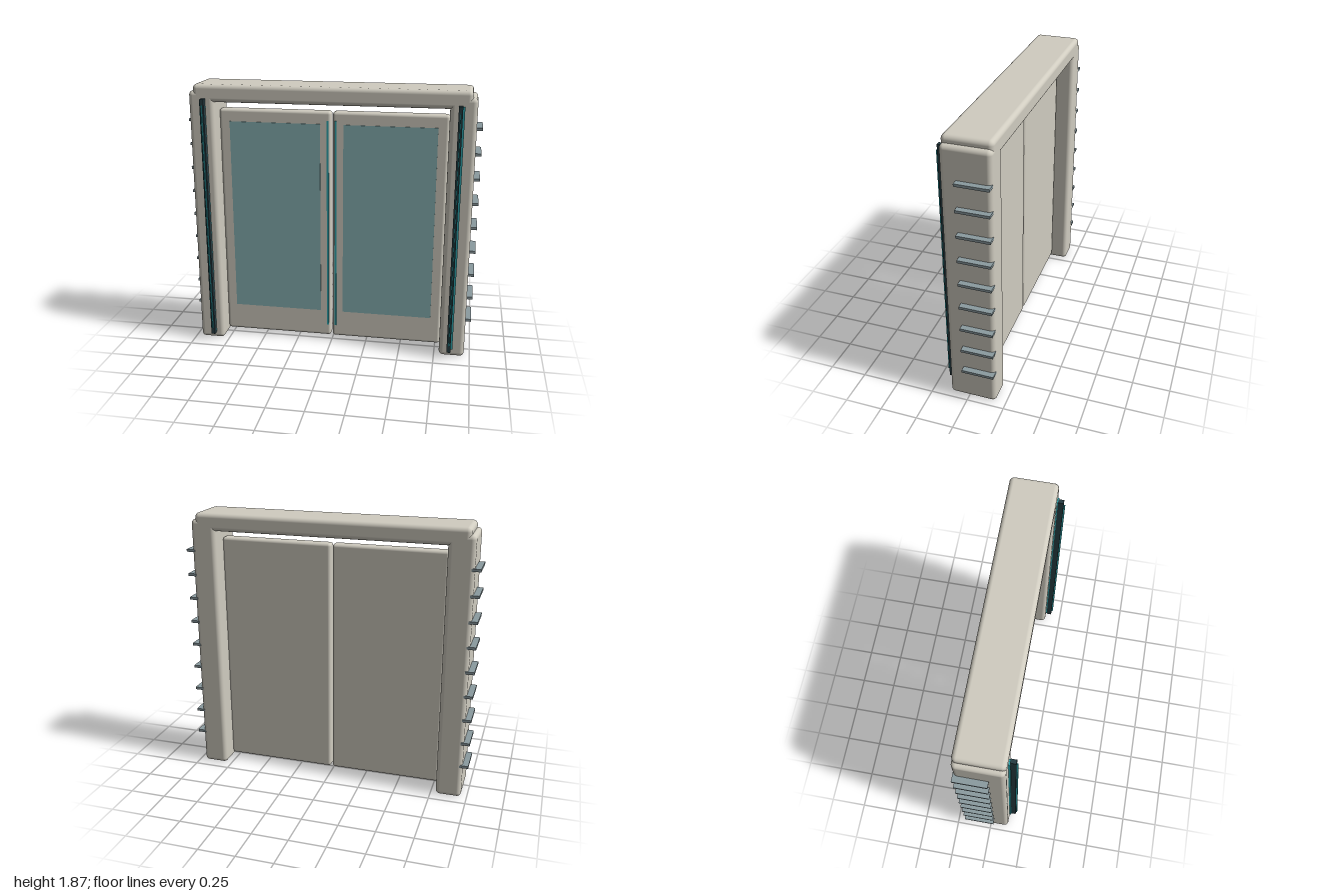
import * as THREE from 'three';
import { RoundedBoxGeometry } from 'three/addons/geometries/RoundedBoxGeometry.js';

const material = (color) => new THREE.MeshStandardMaterial({ color });

// Box given by its extents; a radius rounds its edges.
function block(name, [x0, x1], [y0, y1], [z0, z1], mat, radius = 0) {
  const size = [x1 - x0, y1 - y0, z1 - z0];
  const geometry = radius
    ? new RoundedBoxGeometry(...size, 4, radius)
    : new THREE.BoxGeometry(...size);
  const mesh = new THREE.Mesh(geometry, mat);
  mesh.name = name;
  mesh.position.set((x0 + x1) / 2, (y0 + y1) / 2, (z0 + z1) / 2);
  return mesh;
}

export function createModel() {
  const shell = material(0xd0ccc0);
  const glass = material(0x86b0b2);
  const glow = material(0x2fa5ad);
  const dark = material(0x263c42);
  const metal = material(0x8b9ba0);

  const model = new THREE.Group();
  model.name = 'slidingDoorway';
  const frameZ = [-0.185, 0.13];

  // Lintel across both posts
  model.add(block('lintel', [-0.93, 0.93], [1.745, 1.865], frameZ, shell, 0.03));

  for (const [side, s] of [['left', 1], ['right', -1]]) {
    const span = (a, b) => (s > 0 ? [a, b] : [-b, -a]);
    const half = new THREE.Group();
    half.name = side + 'Half';

    // Post
    half.add(block('post', span(0.785, 0.96), [0, 1.82], frameZ, shell, 0.03));

    // Light rail on the post front: glowing base, dark housing, glowing tip
    half.add(
      block('railBase', span(0.842, 0.88), [0.06, 1.765], [0.125, 0.142], glow),
      block('railHousing', span(0.84, 0.867), [0.05, 1.772], [0.138, 0.175], dark),
      block('railTip', span(0.85, 0.858), [0.1, 1.73], [0.17, 0.185], glow)
    );

    // Cooling fins on the post's outer side
    for (let i = 0; i < 9; i++) {
      const y = 0.24 + i * 0.1705;
      half.add(block('fin', span(0.94, 1), [y - 0.009, y + 0.009], [-0.185, 0.03], metal));
    }

    // Door leaf with window panel and edge light
    half.add(
      block('doorLeaf', span(0.006, 0.785), [0.032, 1.686], [-0.068, 0.013], shell, 0.02),
      block('windowPanel', span(0.08, 0.713), [0.23, 1.6], [0, 0.018], glass),
      block('edgeLight', span(0.021, 0.034), [0.12, 1.625], [0, 0.021], glow)
    );
    model.add(half);
  }
  return model;
}
